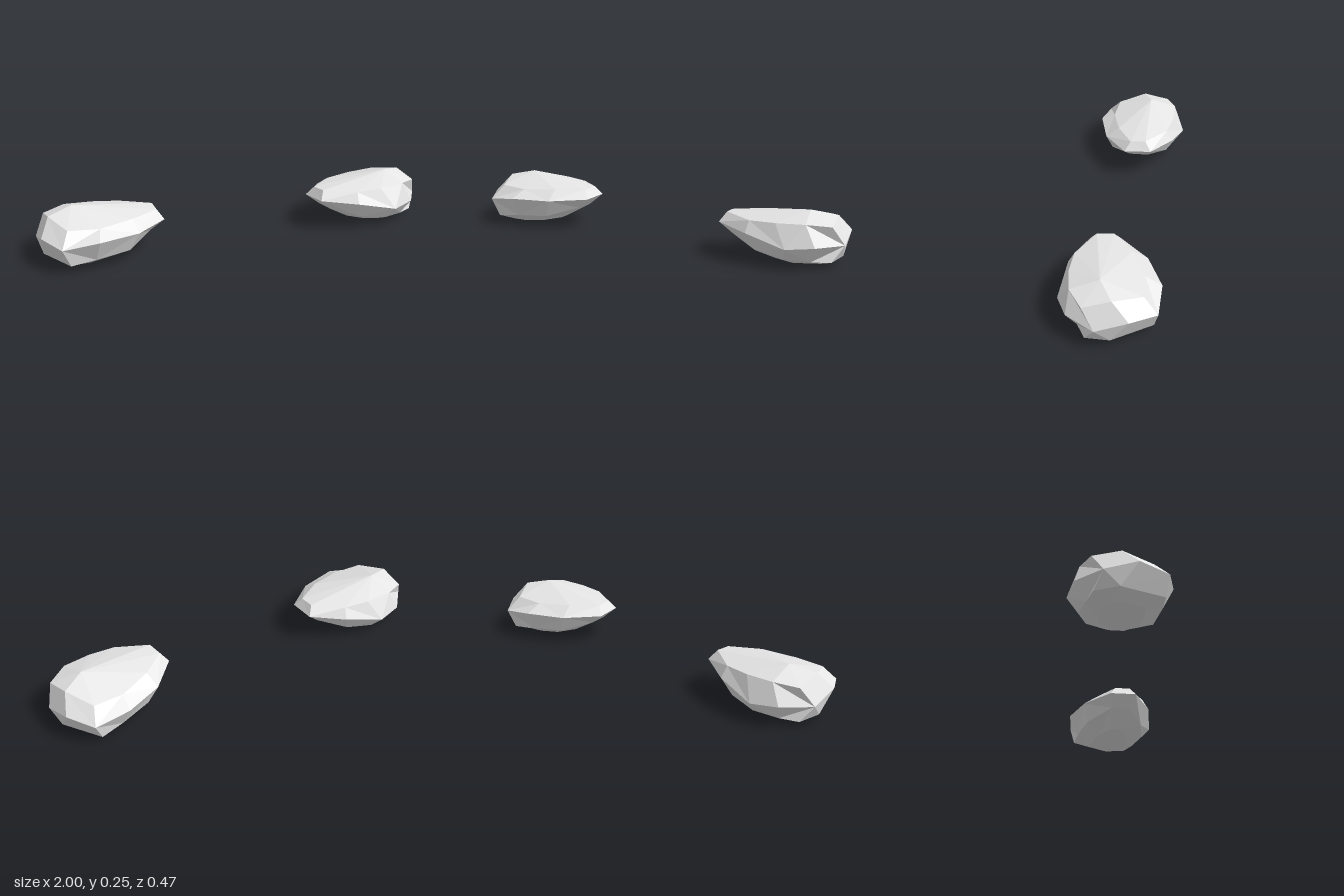
import * as THREE from 'three';

// Cross-sections of one boulder, bottom to top: ten [x, y, z] corners each, starting at the tip
const lower = [
  [0.23, 0.10, 0.04], [0.10, 0.06, 0.15], [-0.07, 0.05, 0.18], [-0.19, 0.037, 0.185], [-0.28, 0.037, -0.01],
  [-0.25, 0.03, -0.12], [-0.16, 0.03, -0.15], [-0.04, 0.04, -0.18], [0.10, 0.06, -0.15], [0.23, 0.10, -0.06],
];
const middle = [
  [0.30, 0.155, 0.06], [0.14, 0.15, 0.18], [-0.06, 0.15, 0.23], [-0.23, 0.125, 0.20], [-0.30, 0.145, 0.07],
  [-0.30, 0.105, -0.08], [-0.19, 0.11, -0.20], [-0.06, 0.10, -0.235], [0.14, 0.145, -0.185], [0.30, 0.16, -0.08],
];
const upper = [
  [0.27, 0.20, 0.03], [0.13, 0.20, 0.11], [-0.04, 0.19, 0.155], [-0.19, 0.195, 0.14], [-0.25, 0.225, 0.00],
  [-0.25, 0.197, -0.13], [-0.14, 0.21, -0.18], [0.00, 0.205, -0.18], [0.13, 0.20, -0.155], [0.27, 0.205, -0.05],
];
// Underside ring: shrunk from the lower one, rising gently toward the tip
const base = lower.map(([x, , z]) => {
  const bx = x * 0.6 - 0.04;
  return [bx, 0.004 + 0.22 * Math.max(0, bx + 0.05) ** 1.2, z * 0.55];
});
const bottom = [-0.14, 0, 0];
const peak = [-0.13, 0.25, -0.045];

function boulderGeometry() {
  const rings = [base, lower, middle, upper];
  const n = middle.length;
  const corners = [];
  const face = (...points) => points.forEach((p) => corners.push(...p));
  for (let i = 0; i < n; i++) {
    const j = (i + 1) % n;
    face(bottom, base[i], base[j]);
    for (let r = 0; r < rings.length - 1; r++) {
      const a = rings[r][i], b = rings[r][j], c = rings[r + 1][j], d = rings[r + 1][i];
      // Alternate the diagonals for irregular facets
      if ((i + r) % 2) { face(a, d, c); face(a, c, b); }
      else { face(a, d, b); face(b, d, c); }
    }
    face(upper[i], peak, upper[j]);
  }
  const geometry = new THREE.BufferGeometry();
  geometry.setAttribute('position', new THREE.Float32BufferAttribute(corners, 3));
  geometry.computeVertexNormals();
  return geometry;
}

export function createModel() {
  const group = new THREE.Group();
  group.name = 'boulders';
  const stone = new THREE.MeshStandardMaterial({ color: 0xe6e6e6, flatShading: true });
  stone.name = 'pale stone';
  const geometry = boulderGeometry();

  // Two copies of the boulder, tips pointing toward each other
  const place = (name, x, turn) => {
    const boulder = new THREE.Mesh(geometry, stone);
    boulder.name = name;
    boulder.position.x = x;
    boulder.rotation.y = turn;
    group.add(boulder);
  };
  place('rightBoulder', -0.7, 0);
  place('leftBoulder', 0.695, Math.PI + 0.16);
  return group;
}
